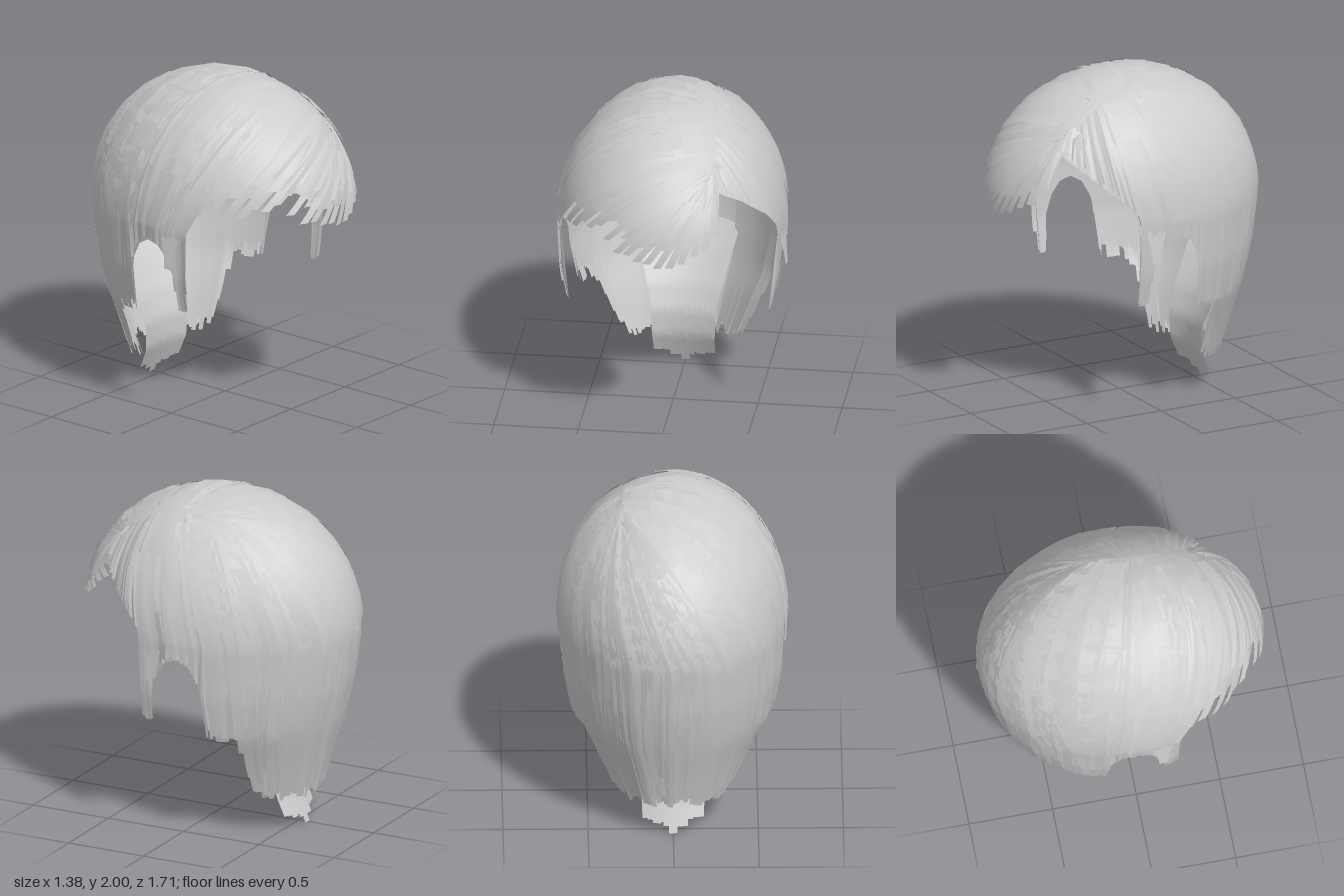
import * as THREE from 'three';
import { mergeGeometries } from 'three/addons/utils/BufferGeometryUtils.js';

const Y0 = 1.22; // height of the widest ring
const RX = 0.668, RY = 0.767, RZ = 0.838;

// seeded random
let seed = 7;
const rand = () => {
  seed = (seed * 16807) % 2147483647;
  return seed / 2147483647;
};

// piecewise linear lookup over [key, value] pairs
function lookup(table, k) {
  if (k <= table[0][0]) return table[0][1];
  for (let i = 1; i < table.length; i++) {
    const [k0, v0] = table[i - 1], [k1, v1] = table[i];
    if (k <= k1) return v0 + (v1 - v0) * (k - k0) / (k1 - k0);
  }
  return table[table.length - 1][1];
}

// half width, back depth and centre shift below the widest ring, by height
const WIDTH = [[0, 0.3], [0.2, 0.39], [0.5, 0.53], [0.65, 0.6], [0.9, 0.65], [Y0, RX]];
const BACK = [[0, 0.57], [0.2, 0.61], [0.4, 0.66], [0.65, 0.735], [0.9, 0.795], [Y0, RZ]];
const SHIFT = [[0.2, -0.13], [0.5, -0.04], [0.7, -0.03], [0.9, 0]];

// hair ends by angle in degrees (0 front, 90 left side): fringe, then temple, ear and back
const FRINGE = [[-75, 1.25], [-68, 1.31], [-50, 1.33], [-32, 1.38], [-16, 1.25], [0, 1.22],
  [15, 1.23], [22, 1.28], [33, 1.38], [34, 1.63], [50, 1.53], [66, 1.38], [75, 1.25]];
const SIDE = [[75, 1.2], [75.5, 0.7], [79.5, 0.7], [81, 0.92], [84, 1.03], [88, 1.1], [93, 1.12],
  [98, 1.08], [102, 0.98], [103.5, 0.88], [104, 0.62], [119, 0.59], [122, 0.48], [124, 0.24],
  [135, 0.19], [180, 0.2]];
const endHeight = a => Math.abs(a) < 75 ? lookup(FRINGE, a) : lookup(SIDE, Math.abs(a));
const isFringe = a => a < 33 && a > -73;
const isBack = a => Math.abs(a) > 104;
const isRagged = a => isFringe(a) || isBack(a);

// point on the hair surface: u runs from the parting (0) to the tip (1)
function hairPoint(deg, u, end, lift = 0) {
  const a = THREE.MathUtils.degToRad(deg);
  const anchorY = Math.max(end, Y0);
  const t = end >= Y0 ? u : Math.min(1, u * 2);
  const p = new THREE.Vector3();
  if (t < 1 || end >= Y0) {
    const rootX = 0.43, rootZ = (0.17 + 0.38 * Math.cos(a)) / RZ;
    const root = new THREE.Vector3(rootX, Math.sqrt(1 - rootX ** 2 - rootZ ** 2), rootZ);
    const h = (anchorY - Y0) / RY, r = Math.sqrt(1 - h * h);
    const tip = new THREE.Vector3(Math.sin(a) * r, h, Math.cos(a) * r);
    const w = root.angleTo(tip), s = Math.sin(w);
    p.copy(root).multiplyScalar(Math.sin((1 - t) * w) / s).addScaledVector(tip, Math.sin(t * w) / s);
    p.multiplyScalar(1 + lift);
    return p.set(p.x * RX, Y0 + p.y * RY, p.z * RZ);
  }
  const y = Y0 + (end - Y0) * (u * 2 - 1);
  const c = Math.cos(a), cz = c > 0 ? 0 : lookup(SHIFT, y);
  const depth = c > 0 ? RZ : lookup(BACK, y) + cz;
  return p.set(Math.sin(a) * lookup(WIDTH, y) * (1 + lift), y, (cz + c * depth) * (1 + lift));
}

// smooth sheet from a rule: columns run to the right, rows run down
function sheet(cols, rows, rule) {
  const pos = [], index = [];
  for (let i = 0; i <= cols; i++) {
    for (let j = 0; j <= rows; j++) {
      const p = rule(i / cols, j / rows);
      pos.push(p.x, p.y, p.z);
      if (i < cols && j < rows) {
        const q = i * (rows + 1) + j, n = q + rows + 1;
        index.push(q, q + 1, n, n, q + 1, n + 1);
      }
    }
  }
  const g = new THREE.BufferGeometry();
  g.setAttribute('position', new THREE.Float32BufferAttribute(pos, 3));
  g.setIndex(index);
  g.computeVertexNormals();
  return g;
}

// ribbon of hair following the surface, wider at the root, one long edge raised by tilt
function strand(deg, half, u0, end, lift0, lift1, tilt = 0) {
  return sheet(2, 14, (s, t) => {
    const side = s * 2 - 1, spread = half * (1 + 2.5 * (1 - t) ** 2);
    return hairPoint(deg + side * spread, u0 + (1 - u0) * t, end,
      lift0 + (lift1 - lift0) * t + tilt * side);
  });
}

export function createModel() {
  const group = new THREE.Group();
  const hair = new THREE.MeshStandardMaterial({ color: 0xcccccc, side: THREE.DoubleSide });
  hair.name = 'hairGrey';
  const add = (geometry, name) => {
    const mesh = new THREE.Mesh(geometry, hair);
    mesh.name = name;
    group.add(mesh);
  };

  // continuous under layer, cut short where the ends are ragged
  add(sheet(360, 30, (s, t) => {
    const a = s * 360 - 180;
    return hairPoint(a, t, endHeight(a) + (isFringe(a) ? 0.17 : isBack(a) ? 0.1 : 0));
  }), 'hairCap');

  // overlapping ribbons all round, sorted by region
  const regions = { fringeStrands: [], sideStrands: [], backStrands: [] };
  const count = 330;
  for (let i = 0; i < count; i++) {
    const a = -180 + (i + rand()) * 360 / count;
    const ragged = isRagged(a);
    const nearEdge = !ragged || isRagged(a - 3) !== isRagged(a + 3);
    const half = nearEdge ? 0.6 : 1.5 + rand() * 1.3;
    const end = endHeight(a) + (isFringe(a) ? 0.11 + rand() * 0.12 : rand() * (ragged ? 0.1 : 0.03));
    const lift = 0.004 + rand() * 0.014;
    const key = isBack(a) ? 'backStrands' : ragged ? 'fringeStrands' : 'sideStrands';
    regions[key].push(strand(a, half, rand() * 0.45, end, lift, lift + 0.004, (rand() - 0.5) * 0.014));
  }
  // separate locks at the tips of the fringe
  for (let a = -70; a < 32; a += 5.2 + rand() * 1.6) {
    const end = endHeight(a) + rand() * 0.05;
    regions.fringeStrands.push(strand(a, 2, 0.35, end, 0.008, 0.016, (rand() - 0.5) * 0.01));
  }
  // shorter upper ribbons ending partway down the back
  for (let i = 0; i < 110; i++) {
    const a = 108 + rand() * 144;
    const end = Math.max(endHeight(a > 180 ? a - 360 : a) + 0.05, 0.3 + rand() * 0.85);
    regions.backStrands.push(
      strand(a, 1.5 + rand() * 1.5, rand() * 0.3, end, 0.012, 0.02, (rand() - 0.5) * 0.012));
  }
  for (const [name, list] of Object.entries(regions)) add(mergeGeometries(list), name);

  // inner layers hanging behind the ears
  const inner = [];
  for (const side of [-1, 1]) {
    for (let a = 126; a < 152; a += 2.5) {
      inner.push(strand(side * a, 1.5, 0.5, 0.2 + rand() * 0.08, -0.01, -0.03 - rand() * 0.07, 0.008));
    }
  }
  add(mergeGeometries(inner), 'innerStrands');

  // small flicks in front of the ears
  add(mergeGeometries([-1, 1].map(s => strand(s * 81.5, 1.8, 0.5, 0.98, 0, 0.065))), 'earFlicks');

  // inner nape layer ending in a flared tuft
  const NAPE = [[0, -0.56], [0.1, -0.52], [0.2, -0.48], [0.35, -0.48], [0.5, -0.54],
    [0.7, -0.67], [0.85, -0.785]];
  const napePoint = (x, y) => new THREE.Vector3(x, y, lookup(NAPE, y) + x * x * 0.9);
  add(sheet(16, 20, (s, t) => {
    const y = 0.85 - t * 0.7;
    return napePoint((1 - s * 2) * (0.17 + Math.max(0, y - 0.3) * 0.26), y);
  }), 'napeLayer');
  const tuft = [];
  for (let i = 0; i < 11; i++) {
    const x = (i - 5) * 0.031;
    const end = i === 5 ? 0 : 0.01 + Math.abs(x) * 0.4 + rand() * 0.03;
    tuft.push(sheet(1, 8, (s, t) =>
      napePoint(x + (0.5 - s) * 0.05 + x * 0.1 * (1 - t), 0.4 + (end - 0.4) * t)));
  }
  add(mergeGeometries(tuft), 'napeTuft');

  return group;
}
